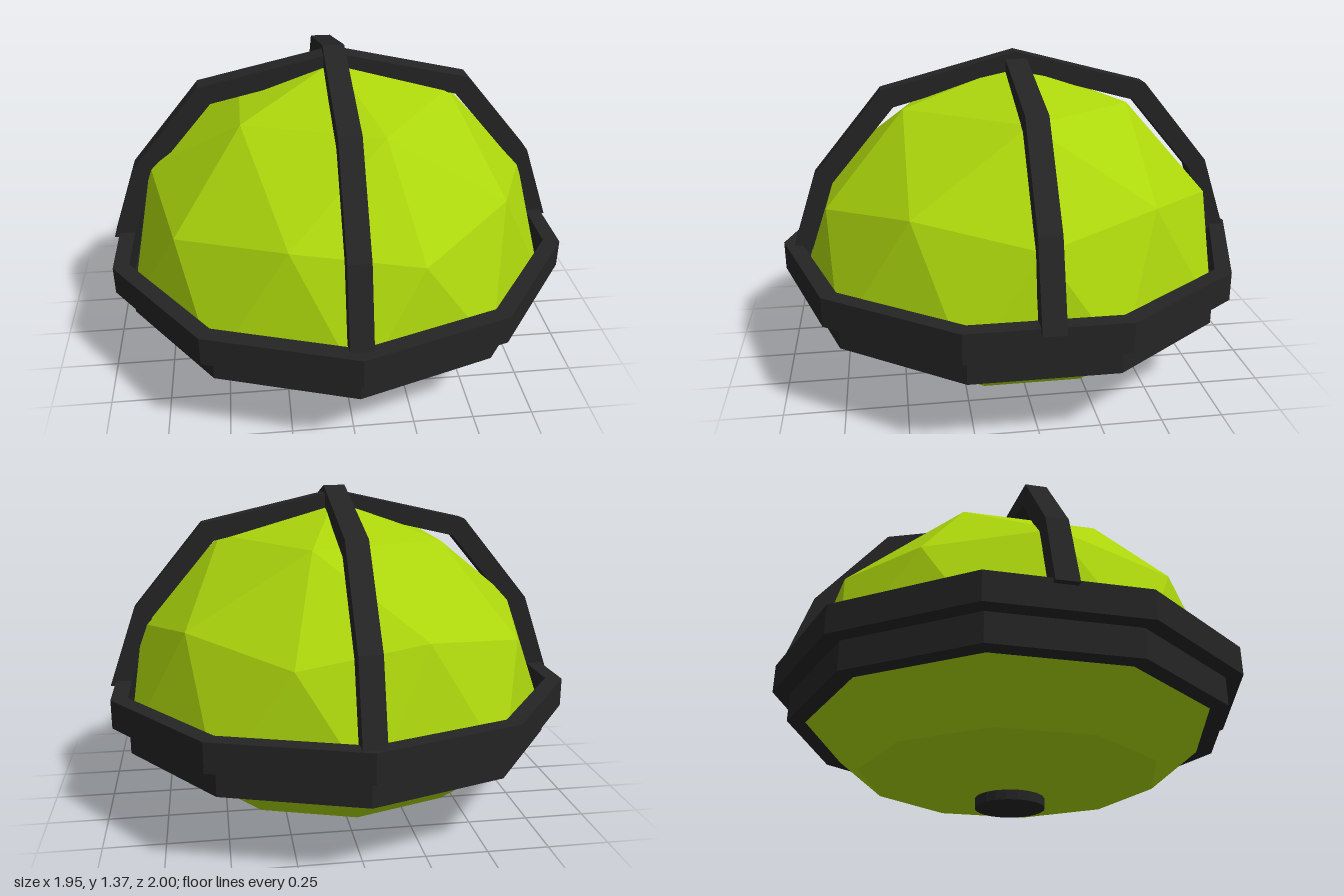
import * as THREE from 'three';

const green = new THREE.MeshStandardMaterial({ color: 0xacd60c, flatShading: true });
const black = new THREE.MeshStandardMaterial({ color: 0x242424, flatShading: true });

const SIDES = 10;
const RADIUS = 0.93;
const EQUATOR = 0.37;

function part(name, geometry, material) {
  const mesh = new THREE.Mesh(geometry, material);
  mesh.name = name;
  return mesh;
}

function lathe(profile) {
  return new THREE.LatheGeometry(profile.map(([r, y]) => new THREE.Vector2(r, y)), SIDES);
}

// Ten-sided band with a rectangular section
function band(inner, outer, y0, y1) {
  return lathe([[inner, y0], [outer, y0], [outer, y1], [inner, y1], [inner, y0]]);
}

// Upper half of a faceted icosphere with one corner pointing straight up
function domeGeometry() {
  const ball = new THREE.IcosahedronGeometry(RADIUS, 1);
  ball.rotateZ(-Math.atan(2 / (1 + Math.sqrt(5))));
  const p = ball.attributes.position;
  const kept = [];
  for (let i = 0; i < p.count; i += 3) {
    if (p.getY(i) + p.getY(i + 1) + p.getY(i + 2) < 0.01) continue;
    for (let k = i; k < i + 3; k++) kept.push(p.getX(k), p.getY(k), p.getZ(k));
  }
  const dome = new THREE.BufferGeometry();
  dome.setAttribute('position', new THREE.Float32BufferAttribute(kept, 3));
  dome.computeVertexNormals();
  return dome.translate(0, EQUATOR, 0);
}

// Angular strap arching over the dome, mirrored from half an outline
function strapGeometry(foot, top) {
  const outer = [[foot, 0.53], [0.86, 0.86], [0.565, 1.217], [0, top]];
  const inner = [[foot - 0.085, 0.53], [0.785, 0.825], [0.515, 1.145], [0, top - 0.08]];
  const mirror = (pts) => pts.slice(0, 3).reverse().map(([x, y]) => [-x, y]);
  const outline = [...outer, ...mirror(outer), ...mirror(inner).reverse(), ...inner.slice().reverse()];
  const shape = new THREE.Shape(outline.map(([x, y]) => new THREE.Vector2(x, y)));
  const width = 0.09;
  return new THREE.ExtrudeGeometry(shape, { depth: width, bevelEnabled: false }).translate(0, 0, -width / 2);
}

export function createModel() {
  const model = new THREE.Group();
  model.name = 'strappedDome';

  // Green body
  model.add(part('dome', domeGeometry(), green));
  model.add(part('bowl', lathe([[0, 0.02], [0.63, 0.125], [RADIUS, EQUATOR]]), green));

  // Stepped rim
  model.add(part('upperRim', band(0.93, 1.0, 0.43, 0.55), black));
  model.add(part('lowerRim', band(0.85, 0.93, 0.31, 0.43), black));

  // Crossing straps
  const sideStrap = part('sideToSideStrap', strapGeometry(0.975, 1.345), black);
  sideStrap.position.z = -0.015;
  const frontStrap = part('frontToBackStrap', strapGeometry(0.97, 1.365), black);
  frontStrap.rotation.y = Math.PI / 2;
  frontStrap.position.z = -0.012;
  model.add(sideStrap, frontStrap);

  // Button underneath
  const button = part('bottomButton', new THREE.CylinderGeometry(0.145, 0.145, 0.04, 20), black);
  button.position.y = 0.02;
  model.add(button);

  return model;
}
